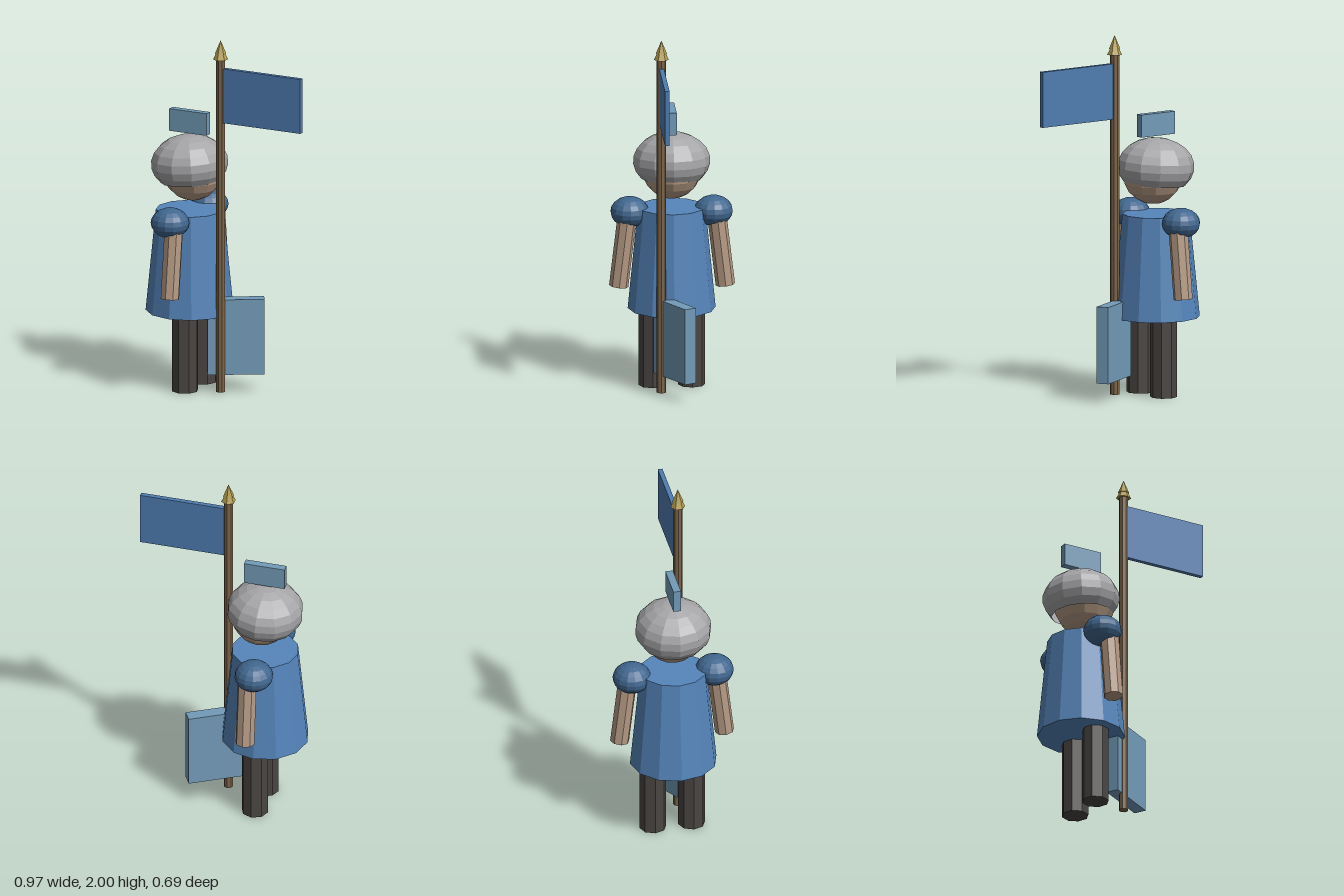
import * as THREE from 'three';

const mat = (color) => new THREE.MeshStandardMaterial({ color, flatShading: true, side: THREE.DoubleSide });
const cloth = mat(0x5585bb), shoulderBlue = mat(0x41678f), skin = mat(0xb59a84), trousers = mat(0x4a4543);
const steel = mat(0xa6a6a9), wood = mat(0x7b6449), brass = mat(0xb09a4c), flagBlue = mat(0x4f7cb0), paleBlue = mat(0x729bb8);

export function createModel() {
  const model = new THREE.Group();
  const add = (name, geometry, material, x, y, z) => {
    const mesh = new THREE.Mesh(geometry, material);
    mesh.name = name;
    mesh.position.set(x, y, z);
    model.add(mesh);
    return mesh;
  };
  const cx = -0.245; // axis of the figure, which faces +x

  // Tunic
  add('tunic', new THREE.CylinderGeometry(0.185, 0.241, 0.57, 12), cloth, cx, 0.715, 0);

  // Head and tilted open helmet
  add('head', new THREE.SphereGeometry(0.165, 12, 10), skin, -0.225, 1.22, 0);
  const helmetShape = new THREE.SphereGeometry(0.212, 12, 8, 0, Math.PI * 2, 0, Math.PI * 0.71);
  helmetShape.scale(1, 0.75, 1);
  add('helmet', helmetShape, steel, cx, 1.26, 0).rotation.z = 0.07;
  add('crest', new THREE.BoxGeometry(0.23, 0.125, 0.042), paleBlue, cx, 1.495, 0);

  // Paired limbs
  for (const s of [1, -1]) {
    add('leg', new THREE.CylinderGeometry(0.074, 0.074, 0.44, 8), trousers, -0.217, 0.22, s * 0.108);
    add('shoulder', new THREE.SphereGeometry(0.106, 14, 10).scale(1, 0.79, 1), shoulderBlue, cx, 0.975, s * 0.23);
    add('arm', new THREE.CylinderGeometry(0.053, 0.053, 0.38, 8), skin, -0.213, 0.752, s * 0.27).rotation.x = -s * 0.118;
  }

  // Flag pole with finial and flag
  const px = -0.016, pz = 0.071;
  add('pole', new THREE.CylinderGeometry(0.026, 0.026, 1.89, 8), wood, px, 0.955, pz);
  add('finialBase', new THREE.CylinderGeometry(0.022, 0.041, 0.04, 6), brass, px, 1.912, pz);
  add('finialTip', new THREE.ConeGeometry(0.031, 0.075, 6), brass, px, 1.9625, pz);
  add('flag', new THREE.BoxGeometry(0.49, 0.308, 0.026), flagBlue, 0.238, 1.69, pz);

  // Shield standing at an angle
  add('shield', new THREE.BoxGeometry(0.312, 0.425, 0.07), paleBlue, 0.042, 0.3175, 0.002).rotation.y = Math.PI / 6;

  return model;
}
